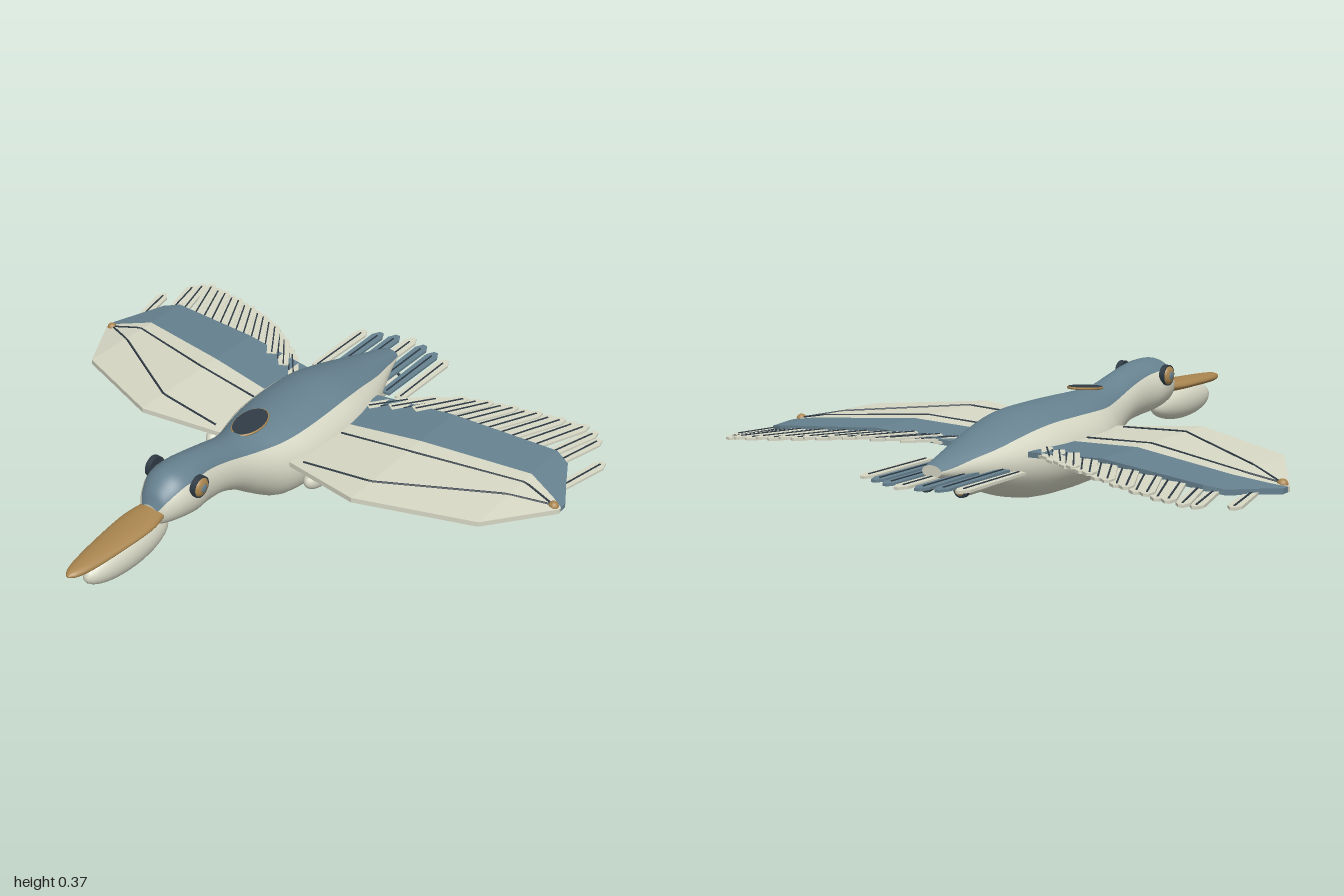
import * as THREE from 'three';

const mat = (name, color) => Object.assign(new THREE.MeshStandardMaterial({ color }), { name });
const { lerp } = THREE.MathUtils;

export function createModel() {
  const cream = mat('cream', 0xd6d7c4), blue = mat('slateBlue', 0x66818f);
  const orange = mat('ochre', 0xa9854f), dark = mat('darkSlate', 0x2f3b45);
  const model = new THREE.Group();

  const add = (name, geo, material, x = 0, y = 0, z = 0, parent = model) => {
    const m = new THREE.Mesh(geo, material);
    m.name = name;
    m.position.set(x, y, z);
    parent.add(m);
    return m;
  };

  // Skin a list of rings; topCount segments of each ring use material group 1
  const skin = (rings, topCount = 0) => {
    const n = rings[0].length, pos = rings.flat(2), bottom = [], top = [];
    for (let i = 0; i < rings.length - 1; i++) for (let j = 0; j < n; j++) {
      const a = i * n + j, b = i * n + (j + 1) % n;
      (j < topCount ? top : bottom).push(a, b, a + n, b, b + n, a + n);
    }
    // End caps with their own vertices
    [rings[0], rings[rings.length - 1]].forEach((ring, e) => {
      const base = pos.length / 3;
      pos.push(...ring.flat());
      for (let j = 1; j < n - 1; j++) bottom.push(base, base + (e ? j : j + 1), base + (e ? j + 1 : j));
    });
    const g = new THREE.BufferGeometry();
    g.setAttribute('position', new THREE.Float32BufferAttribute(pos, 3));
    g.setIndex([...bottom, ...top]);
    g.addGroup(0, bottom.length, 0);
    g.addGroup(bottom.length, top.length, 1);
    g.computeVertexNormals();
    return g;
  };

  // Elliptical loft along z from [z, bottom, top, halfWidth, colour edge angle]
  const loftZ = (sections, steps) => {
    const size = new THREE.CatmullRomCurve3(sections.map(s => new THREE.Vector3(s[1], s[2], s[3])), false, 'catmullrom');
    const place = new THREE.CatmullRomCurve3(sections.map(s => new THREE.Vector3(s[0], s[4] ?? 0, 0)), false, 'catmullrom');
    const rings = [], nTop = 14, nLow = 22;
    for (let i = 0; i <= steps; i++) {
      const p = size.getPoint(i / steps), q = place.getPoint(i / steps);
      const edge = q.y * Math.PI / 180, ring = [];
      for (let j = 0; j < nTop + nLow; j++) {
        const t = j < nTop ? lerp(edge, Math.PI - edge, j / nTop)
          : lerp(Math.PI - edge, 2 * Math.PI + edge, (j - nTop) / nLow);
        ring.push([p.z * Math.cos(t), (p.x + p.y) / 2 + (p.y - p.x) / 2 * Math.sin(t), q.x]);
      }
      rings.push(ring);
    }
    return skin(rings, nTop);
  };

  // Body, neck and head
  add('body', loftZ([
    [-0.81, 0.165, 0.205, 0.038, 10], [-0.7, 0.125, 0.235, 0.075, 30], [-0.6, 0.09, 0.26, 0.115, 38],
    [-0.48, 0.045, 0.29, 0.158, 45], [-0.35, 0.015, 0.315, 0.188, 47], [-0.2, 0.008, 0.32, 0.195, 47],
    [-0.08, 0.007, 0.32, 0.185, 46], [0.01, 0.012, 0.32, 0.16, 44], [0.1, 0.068, 0.322, 0.12, 40],
    [0.18, 0.125, 0.332, 0.094, 36], [0.27, 0.165, 0.355, 0.084, 34], [0.36, 0.178, 0.374, 0.086, 36],
    [0.44, 0.185, 0.38, 0.098, 38], [0.51, 0.195, 0.374, 0.088, 36], [0.565, 0.207, 0.335, 0.06, 32],
    [0.59, 0.225, 0.29, 0.035, 28]], 90), [cream, blue]);

  // Beak and pouch
  add('beak', loftZ([
    [0.57, 0.235, 0.285, 0.048], [0.65, 0.235, 0.278, 0.062], [0.78, 0.232, 0.272, 0.054],
    [0.9, 0.229, 0.266, 0.039], [0.96, 0.233, 0.26, 0.024], [0.985, 0.242, 0.25, 0.006]], 30), [orange, orange]);
  add('pouch', new THREE.SphereGeometry(1, 32, 20), cream, 0, 0.187, 0.71).scale.set(0.056, 0.067, 0.2);

  // Back hatch with rim
  const hatch = new THREE.Group();
  hatch.name = 'backHatch';
  hatch.position.set(0, 0.328, 0.055);
  hatch.rotation.x = 0.1;
  hatch.scale.set(0.05, 1, 0.078);
  model.add(hatch);
  add('hatchCover', new THREE.CylinderGeometry(1, 1, 0.009, 32), dark, 0, 0, 0, hatch);
  const rim = add('hatchRim', new THREE.TorusGeometry(1, 0.07, 8, 40), orange, 0, 0, 0, hatch);
  rim.rotation.x = Math.PI / 2;
  rim.scale.z = 0.06;

  // Pointed feather with a dark shaft; its tip is the origin and points to -z
  const feather = (name, parent, material, length, width, x, y, z, turn) => {
    const w = width / 2, f = new THREE.Group();
    const shape = new THREE.Shape([[-w * 0.8, -length], [w * 0.8, -length], [w, -w * 1.3], [w * 0.35, 0],
      [-w * 0.35, 0], [-w, -w * 1.3]].map(p => new THREE.Vector2(...p)));
    const vane = new THREE.ExtrudeGeometry(shape, { depth: 0.009, bevelEnabled: false }).rotateX(-Math.PI / 2);
    f.name = name;
    f.position.set(x, y, z);
    f.rotation.y = turn;
    add('vane', vane, material, 0, 0, 0, f);
    add('shaft', new THREE.BoxGeometry(0.005, 0.005, length * 0.88), dark, 0, 0.0095, length * 0.53, f);
    parent.add(f);
  };

  // Tail fan
  for (let i = -3; i <= 3; i++) {
    const k = Math.abs(i), tip = -0.985 + k * 0.021;
    feather('tailFeather', model, k === 1 || k === 2 ? blue : cream, -0.595 - tip, 0.048, i * 0.062, 0.16, tip, 0);
  }

  // Height of the wing along its span
  const pick = (table, x) => {
    let i = 1;
    while (i < table.length - 1 && x > table[i][0]) i++;
    const [a, b] = [table[i - 1], table[i]];
    return lerp(a[1], b[1], (x - a[0]) / (b[0] - a[0]));
  };
  const wingY = x => pick([[0.15, 0.203], [0.45, 0.222], [0.84, 0.198], [1, 0.165]], x);
  const tipZ = x => pick([[0.2, -0.495], [0.3, -0.58], [0.42, -0.66], [0.55, -0.72], [0.7, -0.77], [0.85, -0.805], [0.9, -0.79]], x);

  for (const s of [1, -1]) {
    const side = s > 0 ? 'left' : 'right';
    const wing = new THREE.Group();
    wing.name = side + 'Wing';
    model.add(wing);

    // Wing panels from [x, front z, rear z]
    const panel = (name, stations, material) => {
      const rings = stations.map(([x, zf, zr]) => {
        const y = wingY(x), t = 0.009;
        const r = [[s * x, y + t, zr], [s * x, y + t, zf], [s * x, y - t, zf], [s * x, y - t, zr]];
        return s > 0 ? r : r.reverse();
      });
      const g = skin(rings).toNonIndexed();
      g.clearGroups();
      g.computeVertexNormals();
      add(name, g, material, 0, 0, 0, wing);
    };
    panel('frontPanel', [[0.15, 0.03, -0.28], [0.45, 0.097, -0.325], [0.84, -0.07, -0.415], [0.95, -0.255, -0.37], [0.995, -0.33, -0.345]], cream);
    panel('rearPanel', [[0.15, -0.28, -0.505], [0.45, -0.325, -0.535], [0.84, -0.415, -0.59], [0.9, -0.39, -0.56], [0.95, -0.37, -0.46], [0.995, -0.345, -0.375]], blue);

    // Wing ribs and tip light
    for (const line of [[[0.19, -0.22], [0.46, -0.25], [0.85, -0.36], [0.97, -0.335]],
      [[0.19, 0.005], [0.45, -0.02], [0.83, -0.26], [0.97, -0.335]]]) {
      const path = new THREE.CatmullRomCurve3(line.map(([x, z]) => new THREE.Vector3(s * x, wingY(x) + 0.01, z)), false, 'catmullrom', 0);
      add('wingRib', new THREE.TubeGeometry(path, 36, 0.004, 6), dark, 0, 0, 0, wing);
    }
    add('tipLight', new THREE.SphereGeometry(0.018, 16, 12), orange, s * 0.972, wingY(0.97) + 0.006, -0.335, wing);

    // Trailing feathers, then the spread ones at the tip
    const count = 16;
    for (let i = 0; i < count; i++) {
      const t = i / (count - 1), x = lerp(0.225, 0.845, t);
      feather('wingFeather', wing, cream, lerp(0.13, 0.27, Math.sqrt(t)), 0.046, s * x,
        wingY(x) - 0.008 + (i % 2) * 0.004, tipZ(x), -s * lerp(0.68, 0.38, t));
    }
    for (const [x, z, len, turn] of [[0.885, -0.795, 0.25, 0.3], [0.915, -0.77, 0.23, 0.25], [0.983, -0.67, 0.23, 0.22]])
      feather('tipFeather', wing, cream, len, 0.044, s * x, wingY(x) - 0.004, z, -s * turn);

    // Eye: dark socket, ochre ring and lens
    const eye = new THREE.Group();
    eye.name = side + 'Eye';
    eye.position.set(s * 0.094, 0.326, 0.45);
    eye.rotation.y = s * Math.PI / 2;
    model.add(eye);
    add('socket', new THREE.CylinderGeometry(0.038, 0.038, 0.02, 28).rotateX(Math.PI / 2), dark, 0, 0, 0, eye);
    add('iris', new THREE.SphereGeometry(0.034, 24, 14), orange, 0, 0, 0.006, eye).scale.z = 0.5;
    add('pupil', new THREE.SphereGeometry(0.017, 18, 12), blue, 0, 0, 0.018, eye).scale.z = 0.4;

    // Side pods with round lamps
    for (const z of [-0.055, -0.245]) {
      add('sidePod', new THREE.SphereGeometry(1, 28, 18), cream, s * 0.214, 0.142, z).scale.set(0.036, 0.043, 0.078);
      add('podLamp', new THREE.SphereGeometry(0.019, 18, 12), orange, s * 0.246, 0.142, z).scale.x = 0.45;
    }

    // Tail thrusters
    const tube = (name, r, len, m, z) =>
      add(name, new THREE.CylinderGeometry(r, r, len, 24).rotateX(Math.PI / 2), m, s * 0.07, 0.128, z);
    tube('thruster', 0.027, 0.12, cream, -0.69);
    tube('thrusterCollar', 0.029, 0.014, dark, -0.75);
    tube('thrusterGlow', 0.02, 0.008, orange, -0.758);
  }
  return model;
}
